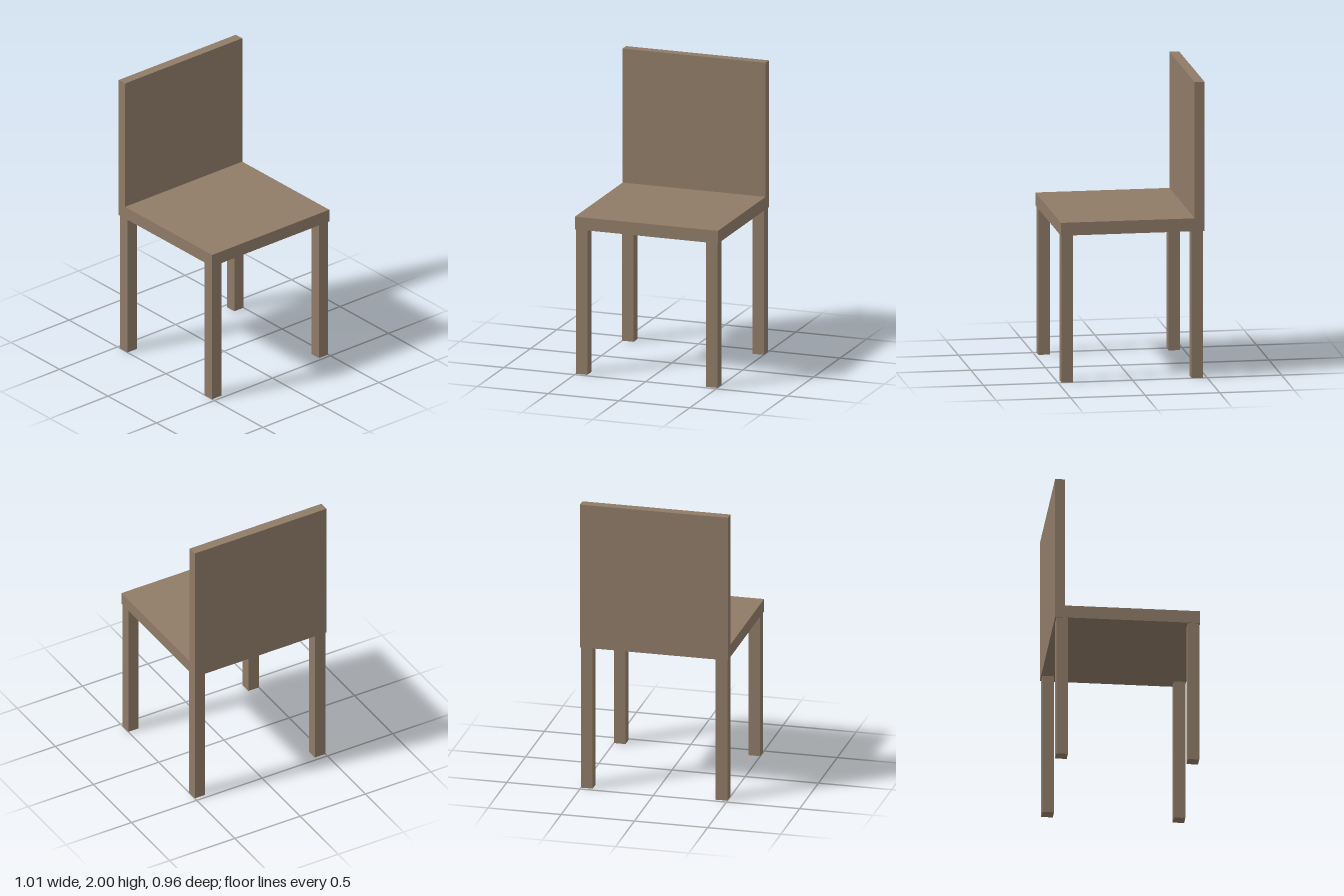
import * as THREE from 'three';

export function createModel() {
  const wood = new THREE.MeshStandardMaterial({ color: 0x8f7b67 });
  wood.name = 'brown wood';

  const chair = new THREE.Group();
  chair.name = 'chair';

  // Seat and backrest: one L-shaped side profile (z, y) swept across the width
  const width = 1.01;
  const profile = new THREE.Shape([
    [-0.482, 0.993], [0.482, 0.993], [0.482, 1.08],
    [-0.416, 1.08], [-0.416, 2], [-0.482, 2],
  ].map(([z, y]) => new THREE.Vector2(z, y)));
  const seatGeometry = new THREE.ExtrudeGeometry(profile, { depth: width, bevelEnabled: false });
  seatGeometry.rotateY(-Math.PI / 2).translate(width / 2, 0, 0);
  const seat = new THREE.Mesh(seatGeometry, wood);
  seat.name = 'seatAndBackrest';
  chair.add(seat);

  // Four square legs, slightly inset from the seat edges
  const legHeight = 0.993;
  const legGeometry = new THREE.BoxGeometry(0.08, legHeight, 0.077);
  for (const [sideName, x] of [['Left', 0.46], ['Right', -0.46]]) {
    for (const [endName, z] of [['front', 0.438], ['back', -0.435]]) {
      const leg = new THREE.Mesh(legGeometry, wood);
      leg.name = `${endName}${sideName}Leg`;
      leg.position.set(x, legHeight / 2, z);
      chair.add(leg);
    }
  }

  return chair;
}
